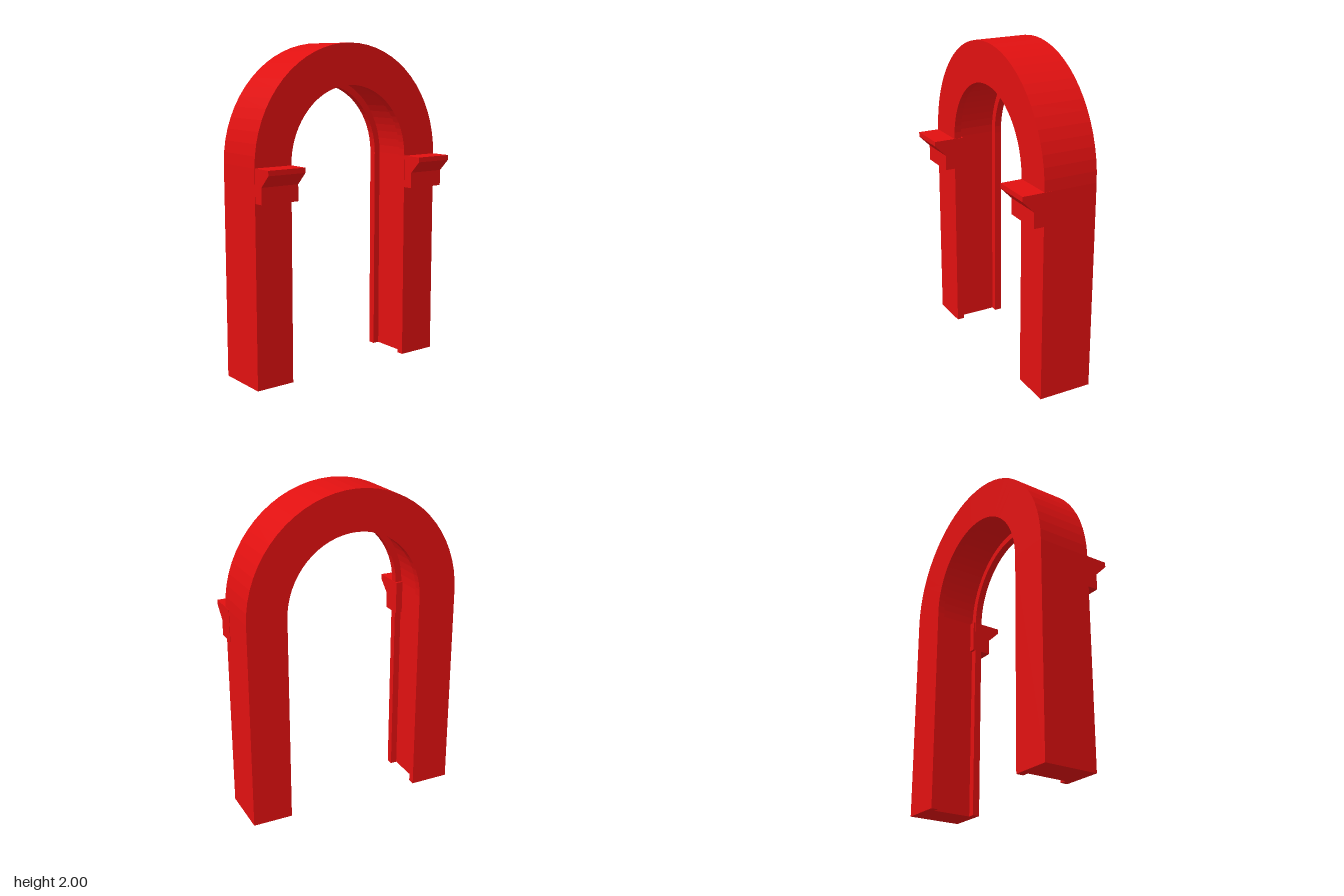
import * as THREE from 'three';

const SPRING = 1.3;            // height where the arch starts to curve
const RISE = 0.021;            // the curve is slightly taller than wide
const INNER = 0.431, OUTER = 0.679, GROOVE = 0.472;
const BACK = -0.237, FRONT = 0.1, LIP = 0.045;
const SEGMENTS = 32;

const material = new THREE.MeshStandardMaterial({ color: 0xe01010, flatShading: true });

// Jamb section as [x, distance from the arch axis], with a grooved inner face
const section = [
  [BACK, INNER], [BACK + LIP, INNER], [BACK + LIP, GROOVE],
  [FRONT - LIP, GROOVE], [FRONT - LIP, INNER], [FRONT, INNER],
  [FRONT, OUTER], [BACK, OUTER],
];

// Sweep the section up one leg, over the arch and down the other leg
function archGeometry() {
  const ring = (angle, foot) => section.map(([x, r]) => new THREE.Vector3(
    x,
    foot ? 0 : SPRING + Math.sin(angle) * (r + RISE),
    Math.cos(angle) * r,
  ));
  const rings = [ring(0, true)];
  for (let i = 0; i <= SEGMENTS; i++) rings.push(ring((Math.PI * i) / SEGMENTS, false));
  rings.push(ring(Math.PI, true));

  const points = [];
  const n = section.length;
  for (let s = 0; s < rings.length - 1; s++) {
    for (let i = 0; i < n; i++) {
      const j = (i + 1) % n;
      const a = rings[s][i], b = rings[s][j], c = rings[s + 1][j], d = rings[s + 1][i];
      points.push(a, d, c, a, c, b);
    }
  }

  // Close both feet
  const outline = section.map(([x, r]) => new THREE.Vector2(x, r));
  const last = rings[rings.length - 1];
  for (const [a, b, c] of THREE.ShapeUtils.triangulateShape(outline, [])) {
    points.push(rings[0][a], rings[0][b], rings[0][c]);
    points.push(last[a], last[c], last[b]);
  }

  const geometry = new THREE.BufferGeometry().setFromPoints(points);
  geometry.computeVertexNormals();
  return geometry;
}

// Impost moulding: a block with a flared top ledge, let into the jamb
function impostGeometry() {
  const profile = [
    [0.04, 1.102], [0.165, 1.102], [0.165, 1.2],
    [0.237, 1.272], [0.237, 1.302], [0.04, 1.302],
  ];
  const shape = new THREE.Shape(profile.map(([x, y]) => new THREE.Vector2(x, y)));
  return new THREE.ExtrudeGeometry(shape, { depth: 0.248, bevelEnabled: false });
}

export function createModel() {
  const model = new THREE.Group();
  model.name = 'archway';

  const arch = new THREE.Mesh(archGeometry(), material);
  arch.name = 'arch';
  model.add(arch);

  const impost = impostGeometry();
  for (const [name, z] of [['frontImpost', 0.429], ['backImpost', -0.681]]) {
    const mesh = new THREE.Mesh(impost, material);
    mesh.name = name;
    mesh.position.z = z;
    model.add(mesh);
  }
  return model;
}
